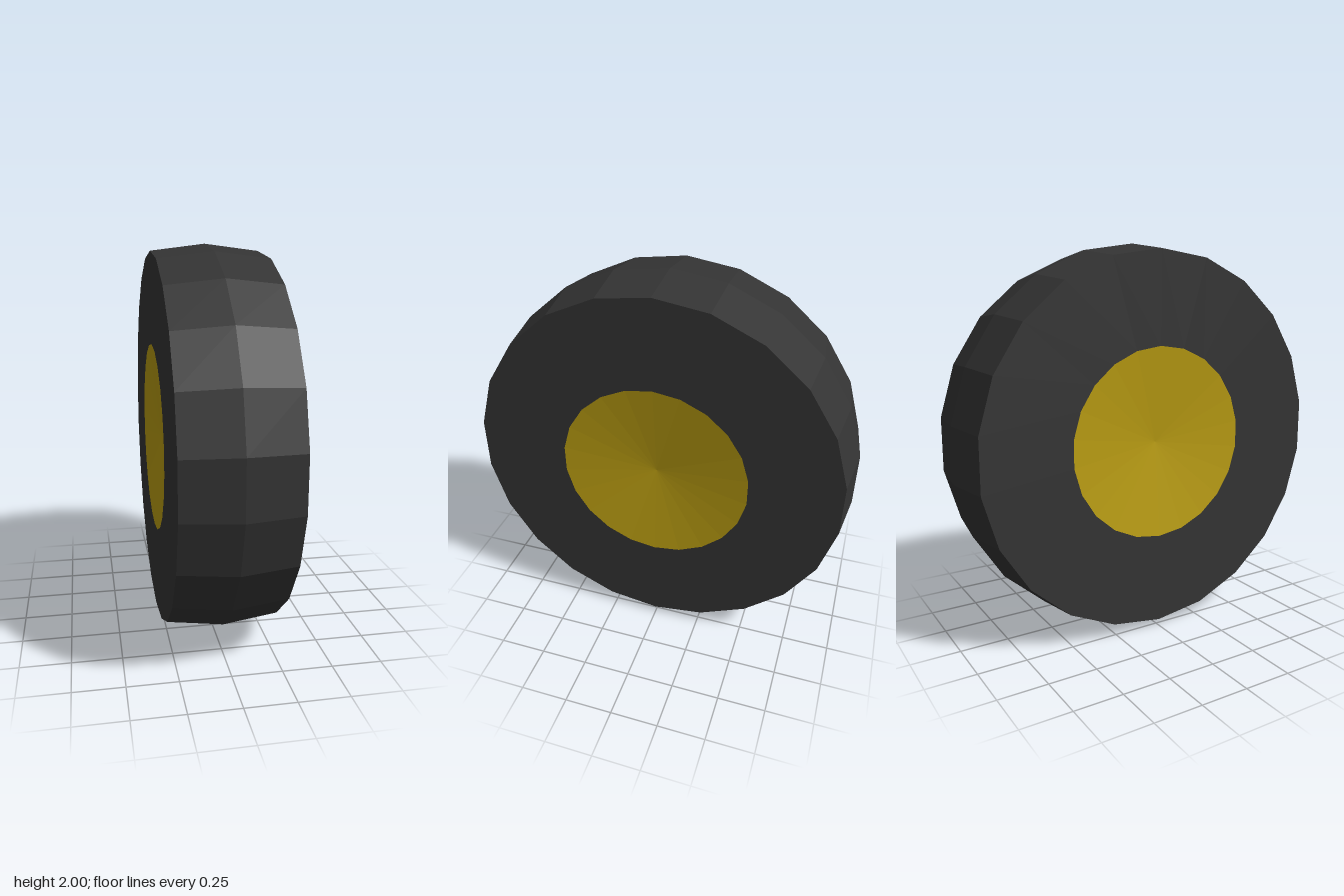
import * as THREE from 'three';

const SIDES = 22;
const HALF_WIDTH = 0.278;
const HUB_RADIUS = 0.495;
const HUB_DEPTH = 0.05;

const rubber = new THREE.MeshStandardMaterial({ color: 0x343434, flatShading: true });
rubber.name = 'dark rubber';
const yellow = new THREE.MeshStandardMaterial({ color: 0xba9d12, flatShading: true });
yellow.name = 'yellow hub';

// Spins a [radius, x] profile around the axle (the x axis), with a corner at the top
function spin(name, profile, material) {
  const points = profile.map(([r, x]) => new THREE.Vector2(r, x));
  const geometry = new THREE.LatheGeometry(points, SIDES, Math.PI / 2);
  geometry.rotateZ(-Math.PI / 2);
  const mesh = new THREE.Mesh(geometry, material);
  mesh.name = name;
  return mesh;
}

export function createModel() {
  const wheel = new THREE.Group();
  wheel.name = 'wheel';

  // Tyre: flat side walls and a tread with a slight ridge in the middle
  wheel.add(spin('tyre', [
    [HUB_RADIUS, -HALF_WIDTH],
    [0.965, -HALF_WIDTH],
    [1, 0],
    [0.965, HALF_WIDTH],
    [HUB_RADIUS, HALF_WIDTH],
  ], rubber));

  // Hubs: a shallow dished disc on each side
  wheel.add(spin('rightHub', [[0, HUB_DEPTH - HALF_WIDTH], [HUB_RADIUS, -HALF_WIDTH]], yellow));
  wheel.add(spin('leftHub', [[HUB_RADIUS, HALF_WIDTH], [0, HALF_WIDTH - HUB_DEPTH]], yellow));

  wheel.position.y = 1;
  const model = new THREE.Group();
  model.name = 'wheelModel';
  model.add(wheel);
  return model;
}
